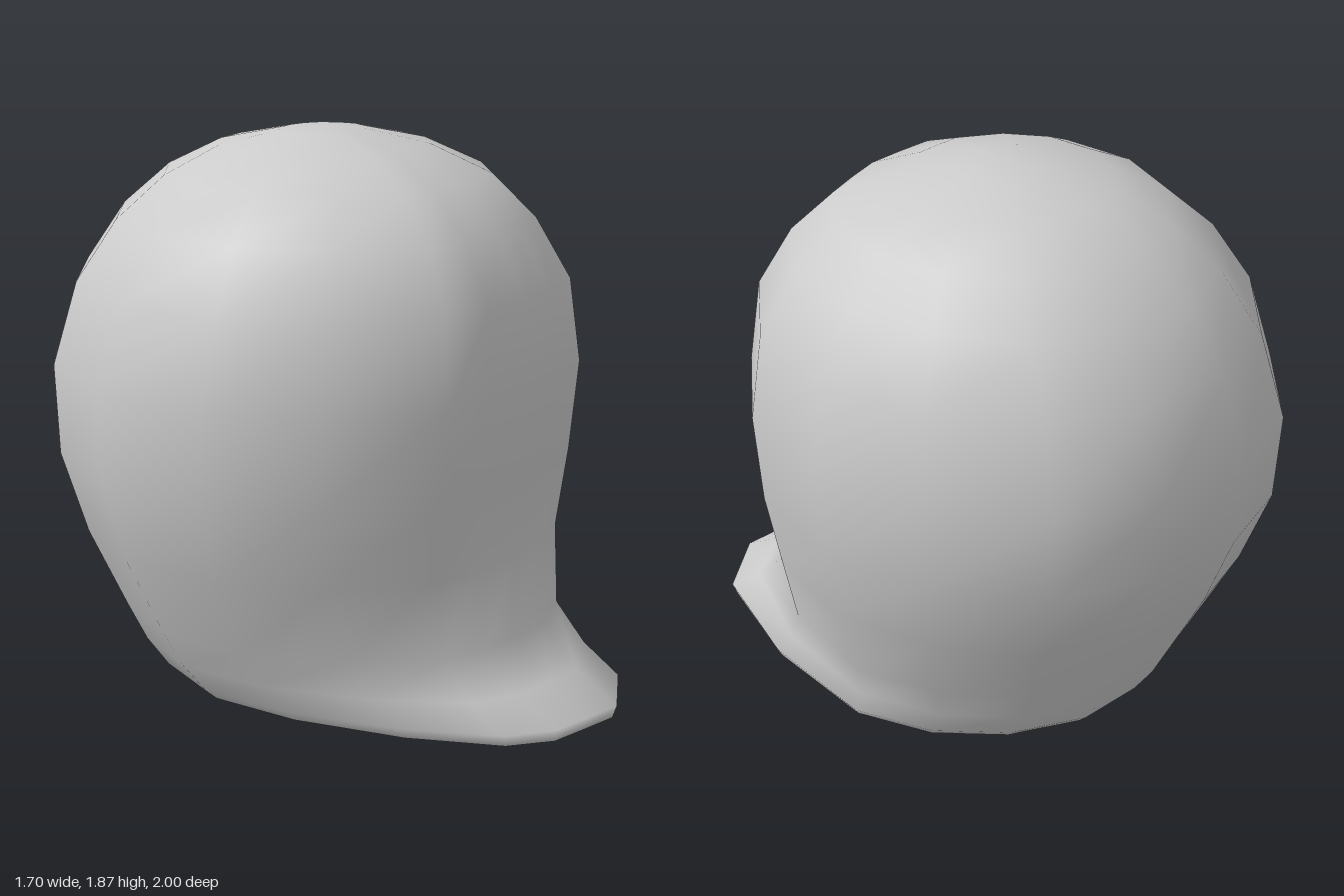
import * as THREE from 'three';

// Outlines seen from above, [x, z], running from the back round by +x to the front
const domeOutline = [
  [-0.04, -1.0], [0.3, -0.94], [0.59, -0.75], [0.78, -0.4], [0.85, -0.02], [0.73, 0.36],
  [0.45, 0.64], [0.25, 0.69], [0.05, 0.73], [-0.15, 0.715], [-0.35, 0.69],
  [-0.65, 0.45], [-0.84, 0.11], [-0.85, -0.3], [-0.68, -0.67], [-0.35, -0.94],
];
const baseOutline = [
  [-0.03, -0.63], [0.2, -0.6], [0.42, -0.46], [0.58, -0.25], [0.66, 0.02], [0.58, 0.46],
  [0.4, 0.86], [0.17, 1.0], [0.02, 0.98], [-0.12, 0.96], [-0.26, 0.86],
  [-0.42, 0.57], [-0.54, 0.2], [-0.57, -0.12], [-0.47, -0.38], [-0.26, -0.57],
];

// Cross-sections: [y, min x, max x, back z, front z, share of base outline, tilt]
const sections = [
  [0.015, -0.25, 0.3, -0.28, 0.5, 1, 0.02],
  [0.015, -0.49, 0.59, -0.54, 0.92, 1, 0.02],
  [0.025, -0.535, 0.635, -0.6, 0.985, 1, 0.01],
  [0.06, -0.57, 0.66, -0.63, 1.0, 1, 0],
  [0.15, -0.62, 0.665, -0.69, 0.85, 0.75, 0],
  [0.27, -0.67, 0.69, -0.75, 0.715, 0.4, 0],
  [0.53, -0.775, 0.775, -0.88, 0.67, 0.08, 0],
  [0.8, -0.84, 0.835, -0.98, 0.7, 0, 0],
  [1.1, -0.85, 0.85, -1.0, 0.73, 0, 0],
  [1.38, -0.79, 0.79, -0.91, 0.7, 0, 0],
  [1.58, -0.67, 0.67, -0.77, 0.59, 0, 0],
  [1.72, -0.52, 0.53, -0.61, 0.45, 0, 0],
  [1.81, -0.34, 0.35, -0.43, 0.25, 0, 0],
  [1.857, -0.15, 0.14, -0.21, 0.05, 0, 0],
];

// Scale an outline to 0..1 in both directions
function normalise(outline) {
  const box = new THREE.Box2().setFromPoints(outline.map(([x, z]) => new THREE.Vector2(x, z)));
  const size = box.getSize(new THREE.Vector2());
  return outline.map(([x, z]) => [(x - box.min.x) / size.x, (z - box.min.y) / size.y]);
}

function loft() {
  const dome = normalise(domeOutline);
  const base = normalise(baseOutline);
  const n = dome.length;
  const positions = [];
  const index = [];
  const { lerp } = THREE.MathUtils;

  for (const [y, x0, x1, z0, z1, blend, tilt] of sections) {
    for (let i = 0; i < n; i++) {
      const z = lerp(z0, z1, lerp(dome[i][1], base[i][1], blend));
      positions.push(lerp(x0, x1, lerp(dome[i][0], base[i][0], blend)), Math.max(0, y - tilt * z), z);
    }
  }
  // Walls
  for (let r = 0; r < sections.length - 1; r++) {
    for (let i = 0; i < n; i++) {
      const a = r * n + i;
      const b = r * n + (i + 1) % n;
      index.push(a, a + n, b, b, a + n, b + n);
    }
  }
  // Sole and crown caps
  const sole = positions.length / 3;
  const last = (sections.length - 1) * n;
  positions.push(0.03, 0.015, 0.1, 0, 1.865, -0.08);
  for (let i = 0; i < n; i++) {
    const j = (i + 1) % n;
    index.push(sole, i, j, sole + 1, last + j, last + i);
  }

  const geometry = new THREE.BufferGeometry();
  geometry.setAttribute('position', new THREE.Float32BufferAttribute(positions, 3));
  geometry.setIndex(index);
  geometry.computeVertexNormals();
  return geometry;
}

export function createModel() {
  const group = new THREE.Group();
  const body = new THREE.Mesh(loft(), new THREE.MeshStandardMaterial({ color: 0xcccccc }));
  body.name = 'roundedBodyWithLip';
  group.add(body);
  return group;
}
